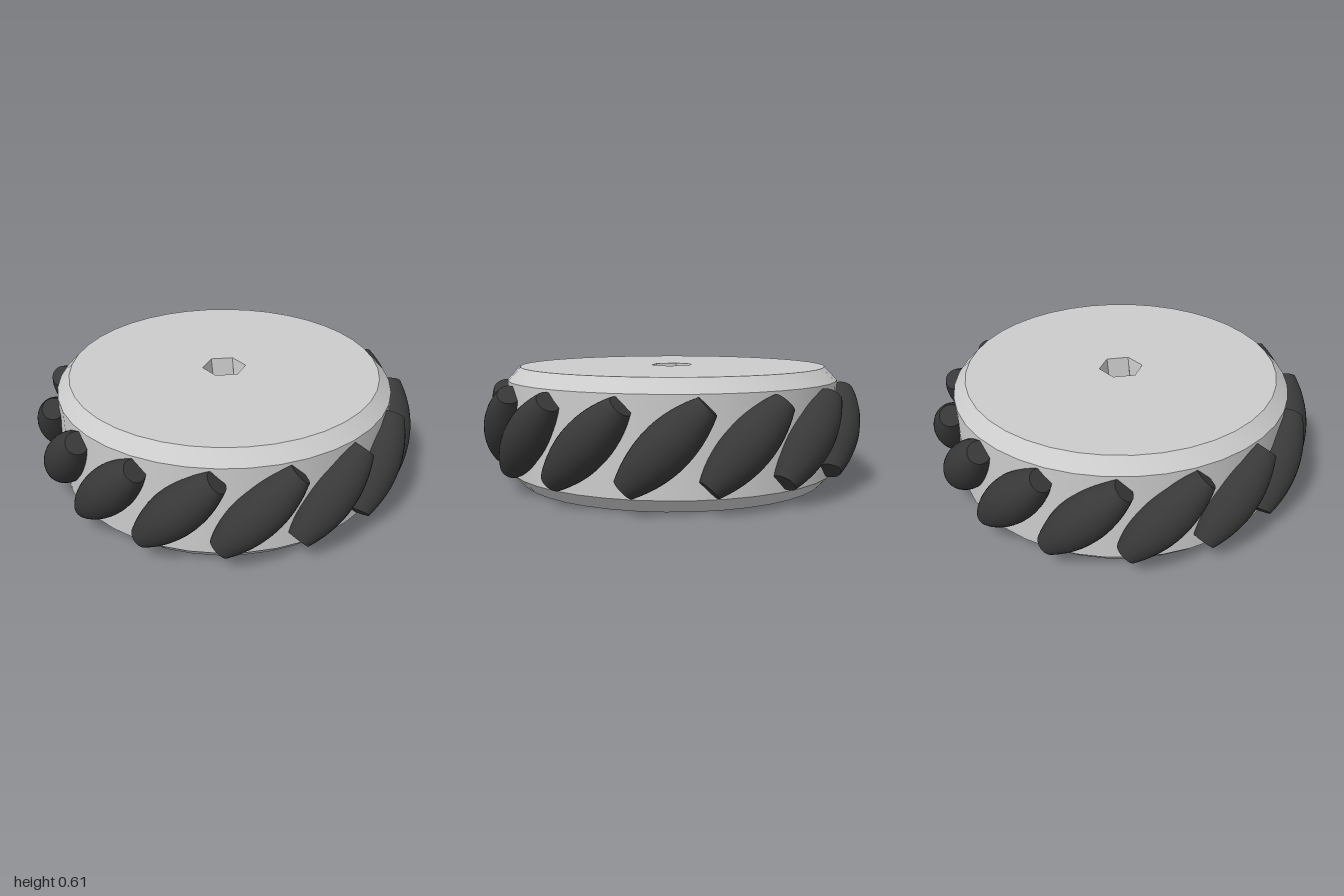
import * as THREE from 'three';
import { toCreasedNormals } from 'three/addons/utils/BufferGeometryUtils.js';

const HEIGHT = 0.605, SIDES = 40, FACE_R = 0.81, HUB_R = 0.875;
const BORE_R = 0.115, ROLLERS = 15, ROLLER_DIST = 0.885;

const polar = (r, a) => new THREE.Vector2(r * Math.cos(a), r * Math.sin(a));
const ring = (r, n, start = 0) =>
  Array.from({ length: n }, (_, i) => polar(r, start + (i / n) * Math.PI * 2));

// Flat disc with a hexagonal hole
function faceGeometry() {
  const shape = new THREE.Shape(ring(FACE_R, SIDES));
  shape.holes.push(new THREE.Path(ring(BORE_R, 6, Math.PI / 4)));
  return new THREE.ShapeGeometry(shape);
}

// Hexagonal bore that twists by 30 degrees from top to bottom
function boreGeometry() {
  const top = ring(BORE_R, 6, Math.PI / 4), bottom = ring(BORE_R, 6, Math.PI / 12);
  const pos = [];
  for (let i = 0; i < 6; i++) {
    const j = (i + 1) % 6;
    const a = [top[i].x, HEIGHT, -top[i].y], b = [top[j].x, HEIGHT, -top[j].y];
    const c = [bottom[i].x, 0, -bottom[i].y], d = [bottom[j].x, 0, -bottom[j].y];
    pos.push(...a, ...b, ...c, ...b, ...d, ...c);
  }
  const geo = new THREE.BufferGeometry();
  geo.setAttribute('position', new THREE.Float32BufferAttribute(pos, 3));
  geo.computeVertexNormals();
  return geo;
}

// Barrel with flat ends, along y
function rollerGeometry() {
  const half = 0.26, endR = 0.057, midR = 0.118, steps = 16;
  const pts = [new THREE.Vector2(0, -half)];
  for (let i = 0; i <= steps; i++) {
    const t = (i / steps) * 2 - 1;
    pts.push(new THREE.Vector2(endR + (midR - endR) * (1 - t * t), t * half));
  }
  pts.push(new THREE.Vector2(0, half));
  return toCreasedNormals(new THREE.LatheGeometry(pts, 32), Math.PI / 5);
}

export function createModel() {
  const wheel = new THREE.Group();
  wheel.name = 'wheel';
  wheel.position.z = -0.006;
  const grey = new THREE.MeshStandardMaterial({ color: 0xcccccc });
  const greyInner = new THREE.MeshStandardMaterial({ color: 0xcccccc, side: THREE.DoubleSide });
  const dark = new THREE.MeshStandardMaterial({ color: 0x383838 });
  const add = (parent, name, geo, mat) => {
    const mesh = new THREE.Mesh(geo, mat);
    mesh.name = name;
    parent.add(mesh);
    return mesh;
  };

  // Hub: bevelled rim, two faces and the bore
  const hub = new THREE.Group();
  hub.name = 'hub';
  wheel.add(hub);
  const profile = [[FACE_R, 0], [HUB_R, 0.068], [HUB_R, HEIGHT - 0.068], [FACE_R, HEIGHT]]
    .map(([r, y]) => new THREE.Vector2(r, y));
  const rim = new THREE.LatheGeometry(profile, SIDES);
  add(hub, 'rim', toCreasedNormals(rim, Math.PI / 8), grey);
  const topFace = add(hub, 'topFace', faceGeometry(), grey);
  topFace.rotation.x = -Math.PI / 2;
  topFace.position.y = HEIGHT;
  const bottomFace = add(hub, 'bottomFace', faceGeometry(), grey);
  bottomFace.rotation.x = Math.PI / 2;
  add(hub, 'bore', boreGeometry(), greyInner);

  // Rollers slanted at 45 degrees around the rim
  const rollerGeo = rollerGeometry();
  for (let i = 0; i < ROLLERS; i++) {
    const mount = new THREE.Group();
    mount.name = 'rollerMount';
    mount.rotation.y = (i / ROLLERS) * Math.PI * 2;
    const roller = add(mount, 'roller', rollerGeo, dark);
    roller.position.set(0, HEIGHT / 2, ROLLER_DIST);
    roller.rotation.z = -Math.PI / 4;
    wheel.add(mount);
  }

  const model = new THREE.Group();
  model.name = 'rollerWheel';
  model.add(wheel);
  return model;
}
